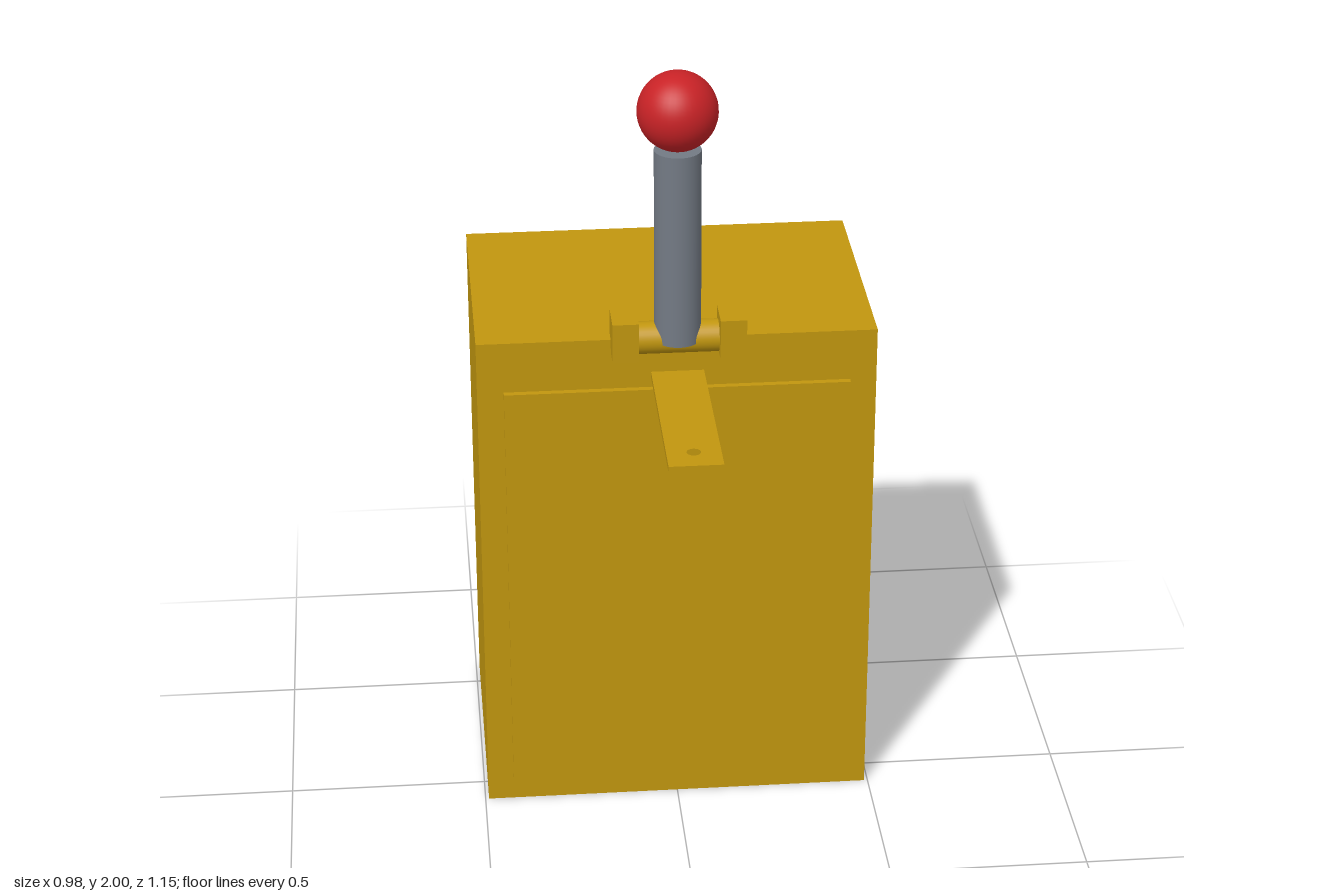
import * as THREE from 'three';

export function createModel() {
  const model = new THREE.Group();
  const paint = (name, color) => {
    const material = new THREE.MeshStandardMaterial({ color });
    material.name = name;
    return material;
  };
  const yellow = paint('ochre yellow', 0xc1960f);
  const grey = paint('steel grey', 0x737a84);
  const red = paint('red', 0xc82226);

  const add = (name, geometry, material, x = 0, y = 0, z = 0) => {
    const mesh = new THREE.Mesh(geometry, material);
    mesh.name = name;
    mesh.position.set(x, y, z);
    model.add(mesh);
    return mesh;
  };
  // Box given by its minimum and maximum on each axis
  const box = (name, x0, x1, y0, y1, z0, z1) =>
    add(name, new THREE.BoxGeometry(x1 - x0, y1 - y0, z1 - z0), yellow,
      (x0 + x1) / 2, (y0 + y1) / 2, (z0 + z1) / 2);

  // Cabinet and its raised front cover
  box('cabinet', -0.491, 0.491, 0, 1.312, -0.575, 0.081);
  box('frontCover', -0.426, 0.426, 0.068, 1.18, 0.08, 0.097);

  // Locking tab with a round hole near its tip
  const tab = new THREE.Shape([
    new THREE.Vector2(-0.065, -0.07), new THREE.Vector2(0.065, -0.07),
    new THREE.Vector2(0.065, -0.575), new THREE.Vector2(-0.065, -0.575),
  ]);
  tab.holes.push(new THREE.Path().absarc(0, -0.507, 0.017, 0, Math.PI * 2, true));
  const tabGeometry = new THREE.ExtrudeGeometry(tab, { depth: 0.016, bevelEnabled: false, curveSegments: 24 });
  tabGeometry.rotateX(-Math.PI / 2);
  add('lockingTab', tabGeometry, yellow, 0, 1.205, 0);

  // Pivot: base plate, two bearing blocks and the crosswise pin
  box('pivotBase', -0.163, 0.163, 1.274, 1.281, 0.045, 0.088);
  box('pivotBackStrip', -0.163, 0.163, 1.281, 1.317, 0.041, 0.049);
  for (const side of [-1, 1]) {
    const block = box('bearingBlock', -0.032, 0.032, 1.279, 1.381, 0.048, 0.145);
    block.position.x = side * 0.131;
  }
  const pin = new THREE.CylinderGeometry(0.04, 0.04, 0.22, 32).rotateZ(Math.PI / 2);
  add('pivotPin', pin, yellow, 0, 1.316, 0.083);

  // Lever and knob
  add('leverRod', new THREE.CylinderGeometry(0.057, 0.057, 0.495, 40), grey, 0, 1.5595, 0.083);
  add('knob', new THREE.SphereGeometry(0.097, 40, 28), red, 0, 1.903, 0.08);

  return model;
}
